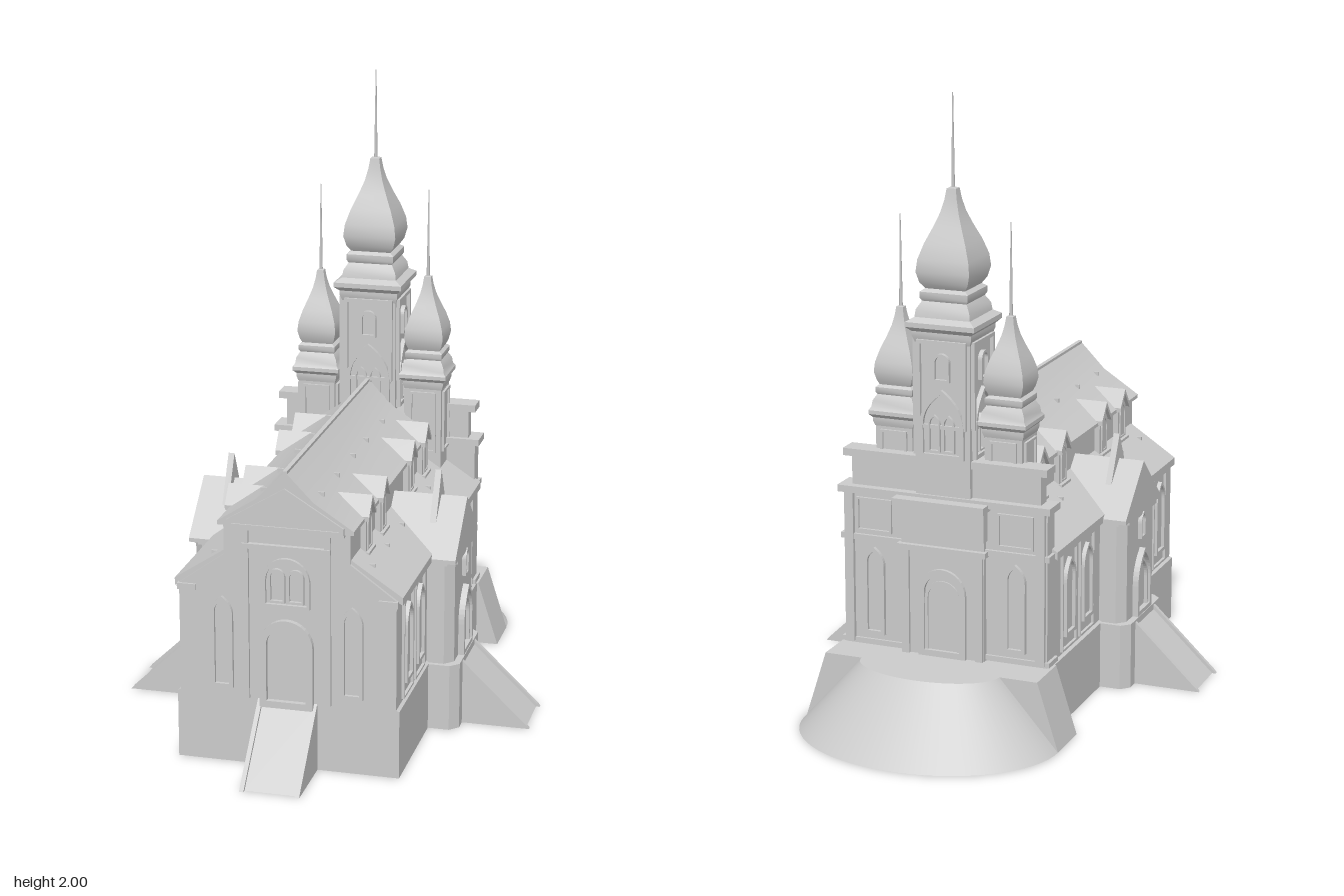
import * as THREE from 'three';
import { toCreasedNormals } from 'three/addons/utils/BufferGeometryUtils.js';

const stone = new THREE.MeshStandardMaterial({ color: 0xcccccc });
const thin = new THREE.MeshStandardMaterial({ color: 0xcccccc, side: THREE.DoubleSide });

export function createModel() {
  const root = new THREE.Group();

  function add(name, geo, parent = root, mat = stone) {
    const m = new THREE.Mesh(geo, mat);
    m.name = name;
    parent.add(m);
    return m;
  }
  const block = (w, h, d, x, y, z) => new THREE.BoxGeometry(w, h, d).translate(x, y + h / 2, z); // y is the bottom
  const box = (name, w, h, d, x, y, z, parent = root) => add(name, block(w, h, d, x, y, z), parent);
  const poly = pts => new THREE.Shape(pts.map(p => new THREE.Vector2(p[0], p[1])));
  const mirrored = pts => poly([...pts, ...pts.slice().reverse().filter(p => p[0] !== 0).map(p => [-p[0], p[1]])]);
  const extrude = (shape, depth, z = 0) =>
    new THREE.ExtrudeGeometry(shape, { depth, bevelEnabled: false, curveSegments: 8 }).translate(0, 0, z);
  function group(name, x, y, z, rotY = 0) {
    const g = new THREE.Group();
    g.name = name;
    g.position.set(x, y, z);
    g.rotation.y = rotY;
    root.add(g);
    return g;
  }

  // Leaves a hollow shell by dropping the faces that lie on the lowest level
  function shell(geo) {
    const src = geo.index ? geo.toNonIndexed() : geo, p = src.attributes.position, kept = [];
    src.computeBoundingBox();
    const low = src.boundingBox.min.y + 1e-4;
    for (let i = 0; i < p.count; i += 3) {
      if (p.getY(i) < low && p.getY(i + 1) < low && p.getY(i + 2) < low) continue;
      for (let k = i; k < i + 3; k++) kept.push(p.getX(k), p.getY(k), p.getZ(k));
    }
    const out = new THREE.BufferGeometry();
    out.setAttribute('position', new THREE.Float32BufferAttribute(kept, 3));
    out.computeVertexNormals();
    return out;
  }
  const addShell = (name, geo, parent = root) => add(name, shell(geo), parent, thin);

  // Arched opening standing on y = 0, round or pointed
  function arch(w, h, round) {
    const s = new THREE.Shape(), r = w / 2, spring = round ? h - r : h - w * 0.85;
    s.moveTo(-r, 0).lineTo(r, 0).lineTo(r, spring);
    if (round) s.absarc(0, spring, r, 0, Math.PI, false);
    else s.quadraticCurveTo(r, h - r * 0.7, 0, h).quadraticCurveTo(-r, h - r * 0.7, -r, spring);
    s.lineTo(-r, 0);
    return s;
  }
  function archFrame(g, name, w, h, { round = false, t = 0.012, depth = 0.014, x = 0, y = 0 } = {}) {
    const outer = arch(w, h, round);
    const inner = arch(w - 2 * t, h - 2 * t, round).getPoints(8).map(p => p.add(new THREE.Vector2(0, t)));
    outer.holes.push(new THREE.Path(inner));
    add(name + 'Frame', extrude(outer, depth), g).position.set(x, y, 0);
    add(name + 'Pane', extrude(arch(w - t, h - t, round), 0.003), g).position.set(x, y, 0);
  }
  function panel(g, w, h, x, y, t = 0.007, depth = 0.009) {
    const s = poly([[-w / 2, 0], [w / 2, 0], [w / 2, h], [-w / 2, h]]);
    s.holes.push(poly([[-w / 2 + t, t], [w / 2 - t, t], [w / 2 - t, h - t], [-w / 2 + t, h - t]]));
    add('wallPanel', extrude(s, depth), g).position.set(x, y, 0);
  }

  // Nave and aisles on a slightly wider plinth
  addShell('naveAndAisles', extrude(mirrored([[0.355, 0], [0.355, 0.22], [0.345, 0.225], [0.345, 0.58],
    [0.2, 0.685], [0.2, 0.79], [0.09, 0.865], [0, 0.955]]), 1.17, -0.45));
  const roofShell = shell(extrude(mirrored([[0.215, 0.785], [0.215, 0.797], [0.09, 0.878], [0, 0.97]]), 1.035, -0.3));
  add('naveRoof', toCreasedNormals(roofShell, 0.4));
  box('ridgeCap', 0.014, 0.022, 1.035, 0, 0.95, 0.2175);
  for (const s of [1, -1]) {
    add('aisleRoof', extrude(poly([[0.362, 0.565], [0.362, 0.59], [0.2, 0.697], [0.2, 0.67]].map(p => [p[0] * s, p[1]])), 1.15, -0.44));
    // Snow guards on both roof slopes
    for (const z of [-0.12, 0.09, 0.26, 0.46, 0.65]) {
      box('roofGuard', 0.02, 0.014, 0.008, s * 0.09, 0.873, z);
      box('roofGuard', 0.02, 0.014, 0.008, s * 0.25, 0.655, z);
    }
    // Wall dormers
    for (const z of [0.56, 0.375, -0.01, -0.21]) {
      const g = group('dormer', s * 0.1, 0, z, s * Math.PI / 2);
      add('dormerBody', extrude(mirrored([[0.037, 0.675], [0.037, 0.8], [0, 0.845]]), 0.118), g);
      add('dormerRoof', extrude(poly([[-0.045, 0.787], [0, 0.842], [0.045, 0.787], [0.045, 0.802], [0, 0.86], [-0.045, 0.802]]), 0.13), g);
      box('dormerSill', 0.085, 0.014, 0.13, 0, 0.672, 0.065, g);
      const w = new THREE.Group();
      w.position.set(0, 0.69, 0.117);
      g.add(w);
      archFrame(w, 'dormerWindow', 0.05, 0.12, { t: 0.006, depth: 0.006 });
    }
    // Aisle windows in sunk panels
    for (const z of [0.585, 0.425, -0.14, -0.3]) {
      const g = group('aisleWindow', s * 0.345, 0.235, z, s * Math.PI / 2);
      panel(g, 0.13, 0.325, 0, 0);
      archFrame(g, 'aisleWindow', 0.088, 0.255, { y: 0.045 });
    }
  }

  // Entrance ramp between full-height cheek walls, running out along local +z
  function ramp(x, z, rotY, half, run) {
    const g = group('entranceRamp', x, 0, z, rotY);
    const side = (name, pts, w, cx) => {
      const m = add(name, extrude(poly(pts), w), g, thin);
      m.rotation.y = -Math.PI / 2;
      m.position.x = cx + w / 2;
    };
    side('rampSlope', [[0, 0.205], [run - 0.012, 0], [run - 0.02, 0], [0, 0.197]], half * 2 - 0.02, 0);
    for (const s of [1, -1]) side('rampCheek', [[0, 0], [0, 0.22], [run - 0.008, 0.01], [run, 0]], 0.014, s * (half - 0.007));
  }
  ramp(0, 0.72, 0, 0.095, 0.215);

  // Front facade
  const front = group('frontFacade', 0, 0, 0.718);
  add('pediment', extrude(mirrored([[0.175, 0.785], [0, 0.9]]), 0.012), front);
  add('pedimentCornice', extrude(poly([[-0.185, 0.785], [0, 0.895], [0.185, 0.785], [0.185, 0.805], [0, 0.918], [-0.185, 0.805]]), 0.024), front);
  box('pedimentBase', 0.37, 0.018, 0.022, 0, 0.775, 0.011, front);
  box('frieze', 0.28, 0.016, 0.018, 0, 0.715, 0.009, front);
  archFrame(front, 'frontDoor', 0.17, 0.29, { round: true, t: 0.022, depth: 0.02, y: 0.2 });
  archFrame(front, 'frontWindow', 0.15, 0.16, { round: true, t: 0.01, y: 0.53 });
  for (const s of [1, -1]) {
    archFrame(front, 'lancet', 0.052, 0.11, { round: true, t: 0.007, x: s * 0.03, y: 0.545 });
    archFrame(front, 'sideWindow', 0.07, 0.3, { x: s * 0.207, y: 0.25 });
    box('pilaster', 0.02, 0.57, 0.012, s * 0.13, 0.22, 0.006, front);
    box('cornerCornice', 0.06, 0.02, 0.02, s * 0.32, 0.56, 0.0, front);
  }

  // Transepts with a gable roof and a pointed gable rising behind its ridge
  const zt = 0.15;
  for (const s of [1, -1]) {
    const g = group('transept', 0, 0, zt, s * Math.PI / 2);
    const plan = (name, len, half, h, y) => {
      const geo = extrude(mirrored([[half, 0.33], [half, len - 0.028], [half - 0.028, len]]), h);
      addShell(name, geo.rotateX(Math.PI / 2).translate(0, y + h, 0), g);
    };
    plan('transeptPlinth', 0.452, 0.17, 0.22, 0);
    plan('transeptWall', 0.43, 0.155, 0.35, 0.22);
    plan('transeptCornice', 0.44, 0.164, 0.02, 0.555);
    addShell('transeptRoof', extrude(mirrored([[0.172, 0.565], [0.172, 0.578], [0, 0.737]]), 0.25, 0.19), g);
    add('transeptGable', extrude(mirrored([[0.13, 0.6], [0.08, 0.66], [0, 0.82]]), 0.02, 0.335), g);
    const face = new THREE.Group();
    face.position.z = 0.43;
    g.add(face);
    archFrame(face, 'transeptDoor', 0.135, 0.22, { t: 0.014, depth: 0.02, y: 0.22 });
    archFrame(face, 'transeptInnerDoor', 0.095, 0.18, { t: 0.009, y: 0.225 });
    archFrame(face, 'transeptWindow', 0.045, 0.09, { t: 0.007, y: 0.475 });
    ramp(s * 0.445, zt, s * Math.PI / 2, 0.1, 0.228);
  }

  // Rear facade with attic and cornices
  addShell('rearWall', block(0.69, 0.74, 0.06, 0, 0, -0.45));
  box('rearCornice', 0.72, 0.022, 0.09, 0, 0.725, -0.455);
  box('rearMidCornice', 0.71, 0.018, 0.08, 0, 0.57, -0.45);
  box('rearLowerCornice', 0.71, 0.016, 0.076, 0, 0.225, -0.45);
  box('rearAttic', 0.64, 0.1, 0.045, 0, 0.745, -0.45);
  box('atticCornice', 0.69, 0.024, 0.07, 0, 0.842, -0.452);
  const rear = group('rearDetails', 0, 0, -0.48, Math.PI);
  addShell('rearPortal', block(0.28, 0.72, 0.018, 0, 0, 0.009), rear);
  box('portalCornice', 0.31, 0.022, 0.06, 0, 0.715, 0.03, rear);
  box('portalFrieze', 0.29, 0.1, 0.035, 0, 0.615, 0.0175, rear);
  box('portalLowerCornice', 0.3, 0.018, 0.035, 0, 0.565, 0.0175, rear);
  for (const s of [1, -1]) {
    archFrame(rear, 'rearWindow', 0.07, 0.29, { x: s * 0.24, y: 0.26 });
    panel(rear, 0.12, 0.11, s * 0.24, 0.6);
    box('rearPilaster', 0.03, 0.5, 0.014, s * 0.325, 0.23, 0.007, rear);
    box('portalPilaster', 0.025, 0.35, 0.028, s * 0.125, 0.22, 0.014, rear);
  }
  archFrame(rear, 'rearDoor', 0.16, 0.29, { round: true, t: 0.02, depth: 0.03, y: 0.22 });
  archFrame(rear, 'rearDoorInner', 0.12, 0.25, { round: true, t: 0.01, depth: 0.023, y: 0.22 });

  // Square towers: turned four-sided onion roofs over box shafts
  function tower(name, x, z, half, y0, y1, profile, tip) {
    const g = group(name, x, 0, z);
    addShell(name + 'Shaft', block(half * 2, y1 - y0, half * 2, 0, y0, 0), g);
    const pts = profile.map(([r, y]) => new THREE.Vector2(r * Math.SQRT2, y));
    add(name + 'OnionRoof', toCreasedNormals(new THREE.LatheGeometry(pts, 4, Math.PI / 4), 0.55), g);
    const top = profile[profile.length - 1][1];
    const spire = add(name + 'Spire', new THREE.CylinderGeometry(0.0015, 0.006, tip - top + 0.02, 6), g);
    spire.position.y = (tip + top - 0.02) / 2;
    for (let i = 0; i < 4; i++) {
      const a = i * Math.PI / 2, f = new THREE.Group();
      f.rotation.y = a;
      f.position.set(Math.sin(a) * half, 0, Math.cos(a) * half);
      g.add(f);
      if (half > 0.07) {
        panel(f, 0.165, 0.28, 0, 0.965, 0.012, 0.012);
        archFrame(f, 'belfryOpening', 0.055, 0.09, { round: true, t: 0.008, y: 1.115 });
        archFrame(f, 'towerWindow', 0.15, 0.22, { y: 0.87, t: 0.014 });
        for (const s of [1, -1]) archFrame(f, 'towerLancet', 0.04, 0.12, { x: s * 0.024, y: 0.89, t: 0.006 });
      } else panel(f, 0.09, 0.21, 0, 0.72, 0.008, 0.008);
    }
  }
  const onion = (c, n, b, y, h) => [ // cornice, neck and belly half-widths, start height, scale
    [c * 0.8, y], [c * 0.86, y + 0.02 * h], [c * 0.86, y + 0.035 * h], [c, y + 0.05 * h], [c, y + 0.066 * h],
    [n * 1.25, y + 0.08 * h], [n * 1.2, y + 0.105 * h], [n, y + 0.13 * h], [n * 1.08, y + 0.14 * h], [n * 1.08, y + 0.16 * h],
    [n * 0.9, y + 0.17 * h], [b * 0.9, y + 0.19 * h], [b, y + 0.225 * h], [b * 0.95, y + 0.265 * h], [b * 0.77, y + 0.315 * h],
    [b * 0.53, y + 0.365 * h], [b * 0.34, y + 0.41 * h], [b * 0.23, y + 0.45 * h], [b * 0.17, y + 0.485 * h], [0, y + 0.49 * h]];
  tower('centralTower', 0, -0.4, 0.092, 0.5, 1.27, onion(0.115, 0.074, 0.089, 1.235, 0.97), 2);
  for (const s of [1, -1])
    tower('sideTower', s * 0.185, -0.385, 0.062, 0.65, 0.95, onion(0.08, 0.058, 0.066, 0.94, 0.775), 1.61);

  // Rear terrace and its sloping half-round skirt
  addShell('terrace', extrude(mirrored([[0.43, 0], [0.36, 0.22]]), 0.165, -0.605));
  const N = 32, pos = [], idx = [];
  for (let i = 0; i <= N; i++) {
    const a = Math.PI * i / N, c = Math.cos(a), s = Math.sin(a);
    pos.push(0.43 * c, 0, -0.6 - 0.335 * s, 0.235 * c, 0.22, -0.6 - 0.128 * s);
    if (i < N) idx.push(2 * i, 2 * i + 2, 2 * i + 1, 2 * i + 1, 2 * i + 2, 2 * i + 3);
  }
  const skirt = new THREE.BufferGeometry();
  skirt.setAttribute('position', new THREE.Float32BufferAttribute(pos, 3));
  skirt.setIndex(idx);
  skirt.computeVertexNormals();
  add('terraceSkirt', skirt, root, thin);
  const cap = add('terraceTop', new THREE.CircleGeometry(1, N, 0, Math.PI), root, thin);
  cap.rotation.x = -Math.PI / 2;
  cap.scale.set(0.235, 0.128, 1);
  cap.position.set(0, 0.22, -0.6);

  return root;
}
